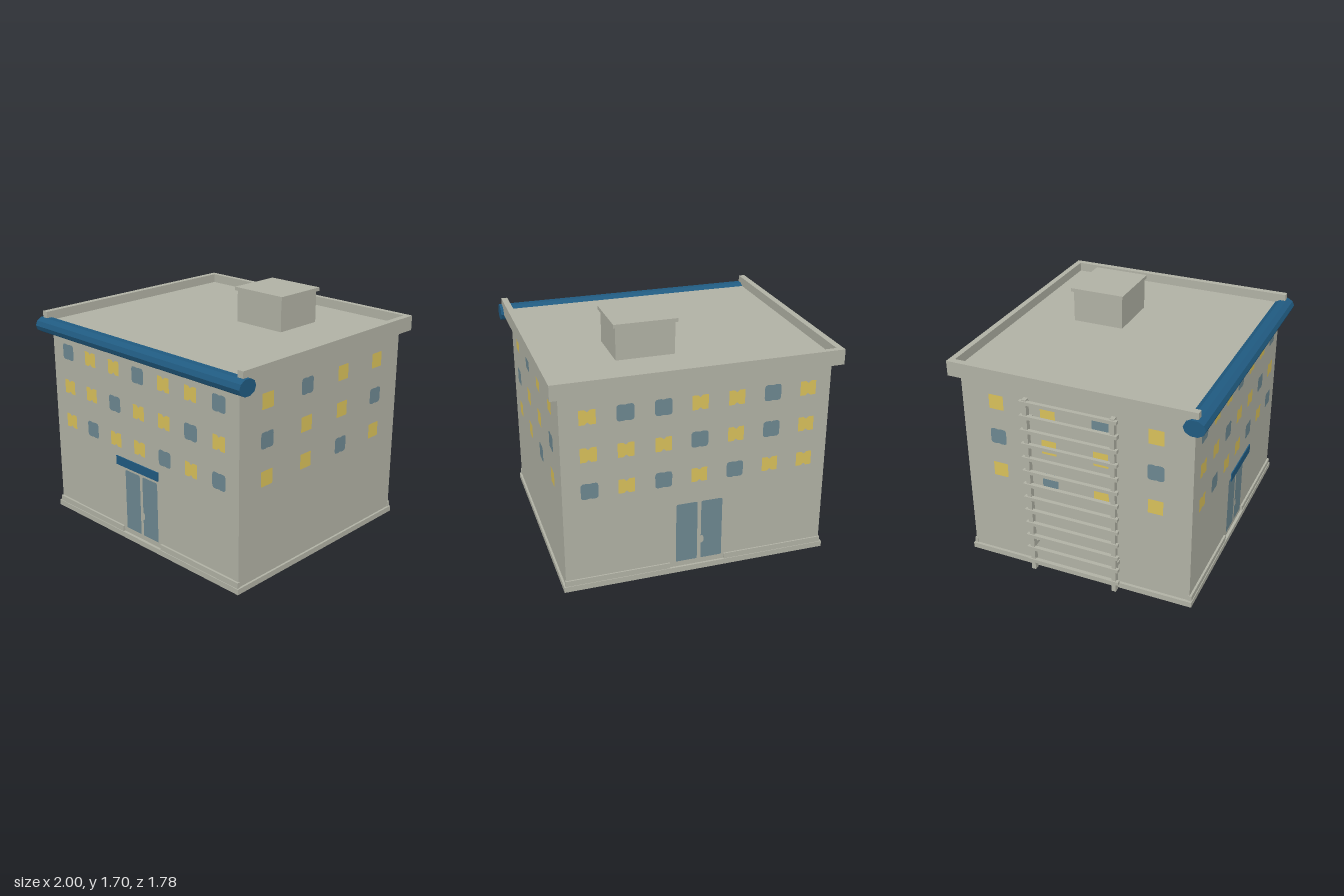
import * as THREE from 'three';

const mat = (name, color) => {
  const m = new THREE.MeshStandardMaterial({ color });
  m.name = name;
  return m;
};

export function createModel() {
  const model = new THREE.Group();
  model.name = 'building';
  const stone = mat('stone', 0xb0b1a4);
  const glass = mat('blue glass', 0x6c8790);
  const lit = mat('lit yellow glass', 0xd8c05a);
  const blue = mat('dark blue trim', 0x205a80);

  // Box given by its minimum and maximum on each axis
  const box = (name, x0, x1, y0, y1, z0, z1, material = stone, parent = model) => {
    const mesh = new THREE.Mesh(new THREE.BoxGeometry(x1 - x0, y1 - y0, z1 - z0), material);
    mesh.position.set((x0 + x1) / 2, (y0 + y1) / 2, (z0 + z1) / 2);
    mesh.name = name;
    parent.add(mesh);
    return mesh;
  };

  // Main block, plinth and roof
  box('walls', -0.91, 0.92, 0.03, 1.43, -0.83, 0.80);
  box('plinth', -0.93, 0.935, 0, 0.04, -0.845, 0.82);
  for (const [x0, x1] of [[-0.915, -0.19], [0.2, 0.925]]) {
    box('frontPlinthStep', x0, x1, 0.04, 0.08, 0.79, 0.815);
    box('backPlinthStep', x0, x1, 0.04, 0.08, -0.84, -0.82);
  }
  box('roofSlab', -0.93, 0.94, 1.41, 1.45, -0.86, 0.80);
  box('leftParapet', 0.935, 0.98, 1.41, 1.515, -0.85, 0.835);
  box('rightParapet', -0.97, -0.925, 1.41, 1.515, -0.85, 0.835);
  box('backParapet', -0.97, 0.98, 1.41, 1.515, -0.89, -0.85);

  // Roof access hut
  box('roofHut', 0.05, 0.455, 1.45, 1.68, -0.47, -0.10);
  box('roofHutCap', 0.035, 0.47, 1.675, 1.70, -0.485, -0.088);

  // Faceted oval roll along the front eave, points facing front and back
  const rollGeo = new THREE.CylinderGeometry(1, 1, 1.99, 10).toNonIndexed();
  rollGeo.rotateZ(Math.PI / 2);
  rollGeo.scale(1, 0.057, 0.073);
  rollGeo.computeVertexNormals();
  const roll = new THREE.Mesh(rollGeo, blue);
  roll.position.set(0.005, 1.415, 0.817);
  roll.name = 'eaveRoll';
  model.add(roll);

  // Sign board over the entrance
  box('entranceBoard', -0.21, 0.215, 0.565, 0.63, 0.831, 0.838, blue);

  // Pane outline: w and h are half sizes, c the corner cut, n the notch depth
  const pane = (w, h, c, n) => {
    const s = new THREE.Shape();
    s.moveTo(-w + c, -h);
    s.lineTo(-0.018, -h);
    s.lineTo(0, -h + n);
    s.lineTo(0.018, -h);
    s.lineTo(w - c, -h);
    s.quadraticCurveTo(w, -h, w, -h + c);
    s.lineTo(w, h - c);
    s.quadraticCurveTo(w, h, w - c, h);
    s.lineTo(0.018, h);
    s.lineTo(0, h - n);
    s.lineTo(-0.018, h);
    s.lineTo(-w + c, h);
    s.quadraticCurveTo(-w, h, -w, h - c);
    s.lineTo(-w, -h + c);
    s.quadraticCurveTo(-w, -h, -w + c, -h);
    return new THREE.ShapeGeometry(s, 4);
  };
  const litLong = pane(0.055, 0.051, 0.005, 0.016);
  const litSide = pane(0.053, 0.053, 0.005, 0);
  const dark = pane(0.058, 0.057, 0.024, 0.004);

  // Window grids: columns and patterns run left to right as seen facing the wall
  const rows = [1.25, 0.99, 0.73];
  const wall = (name, x, z, turn, columns, patterns, litGeo) => {
    const g = new THREE.Group();
    g.name = name;
    g.position.set(x, 0, z);
    g.rotation.y = turn;
    patterns.forEach((pattern, r) => columns.forEach((u, c) => {
      const isLit = pattern[c] === 'Y';
      const mesh = new THREE.Mesh(isLit ? litGeo : dark, isLit ? lit : glass);
      mesh.position.set(u, rows[r], 0);
      mesh.name = isLit ? 'litWindow' : 'darkWindow';
      g.add(mesh);
    }));
    model.add(g);
    return g;
  };
  const long = [-0.74, -0.495, -0.245, 0, 0.25, 0.5, 0.75];
  const front = wall('frontWindows', 0, 0.804, 0, long,
    ['BYYBYYB', 'YYBYYBY', 'YBYYBYB'], litLong);
  const back = wall('backWindows', 0, -0.834, Math.PI, long,
    ['YBBYYBY', 'YYYBYBY', 'BYBYBYY'], litLong);
  wall('leftWindows', 0.924, 0, Math.PI / 2, [-0.55, -0.17, 0.2, 0.575],
    ['YBYY', 'BYYB', 'YYBY'], litSide);
  wall('rightWindows', -0.914, 0, -Math.PI / 2, [-0.575, -0.2, 0.17, 0.55],
    ['YYBY', 'BYYB', 'YBYY'], litSide);

  // Double doors, front and back
  const leaf = (x0, x1) => {
    const s = new THREE.Shape();
    const r = 0.015;
    s.moveTo(x0, 0.08);
    s.lineTo(x1, 0.08);
    s.lineTo(x1, 0.525 - r);
    s.quadraticCurveTo(x1, 0.525, x1 - r, 0.525);
    s.lineTo(x0 + r, 0.525);
    s.quadraticCurveTo(x0, 0.525, x0, 0.525 - r);
    s.lineTo(x0, 0.08);
    return new THREE.ShapeGeometry(s, 4);
  };
  for (const face of [front, back]) {
    for (const [x0, x1] of [[-0.157, -0.007], [0.019, 0.169]]) {
      const door = new THREE.Mesh(leaf(x0, x1), glass);
      door.name = 'doorLeaf';
      face.add(door);
    }
    const handle = new THREE.Mesh(new THREE.CircleGeometry(0.03, 12), stone);
    handle.scale.x = 0.6;
    handle.position.set(0.022, 0.23, 0.003);
    handle.name = 'doorHandle';
    face.add(handle);
  }

  // Ladder on the side wall
  const ladder = new THREE.Group();
  ladder.name = 'ladder';
  model.add(ladder);
  for (const z of [-0.325, 0.285]) {
    box('ladderRail', -0.99, -0.953, 0.01, 1.36, z - 0.015, z + 0.015, stone, ladder);
    for (const y of [0.215, 1.2]) {
      box('ladderBracket', -0.96, -0.905, y - 0.014, y + 0.014, z - 0.014, z + 0.014, stone, ladder);
    }
  }
  for (let i = 0; i < 13; i++) {
    const y = 0.088 + i * 0.1043;
    box('ladderRung', -1, -0.972, y - 0.012, y + 0.012, -0.36, 0.32, stone, ladder);
  }
  return model;
}
